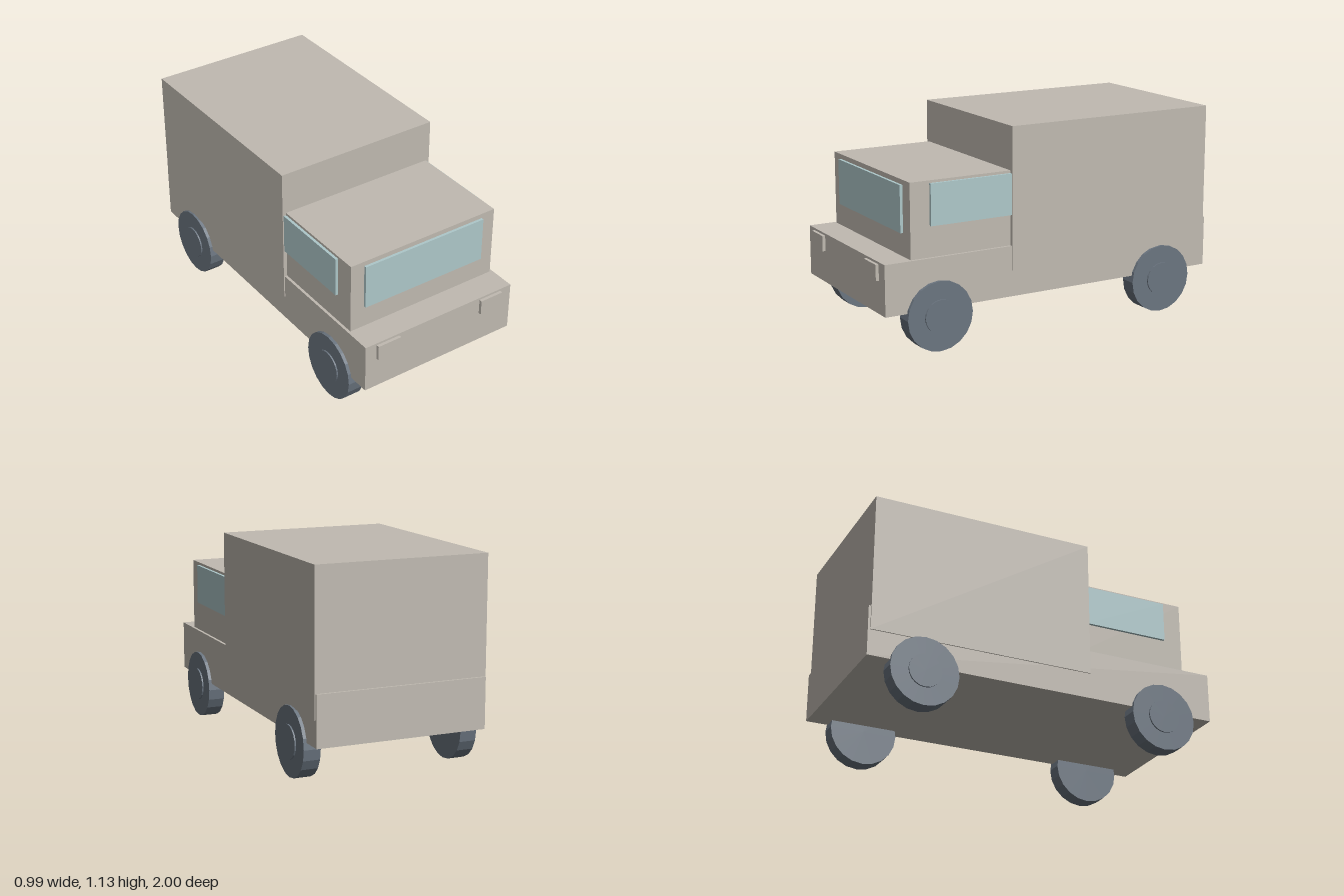
import * as THREE from 'three';

export function createModel() {
  const model = new THREE.Group();
  model.name = 'boxTruck';

  const material = (name, color) => {
    const m = new THREE.MeshStandardMaterial({ color, flatShading: true });
    m.name = name;
    return m;
  };
  const paint = material('warmGreyPaint', 0xc0bab1);
  const glass = material('paleBlueGlass', 0xaec8ca);
  const rubber = material('slateRubber', 0x6b7580);

  // Box given by its lower and upper limits on each axis
  const addBox = (name, mat, [x0, x1], [y0, y1], [z0, z1]) => {
    const mesh = new THREE.Mesh(new THREE.BoxGeometry(x1 - x0, y1 - y0, z1 - z0), mat);
    mesh.position.set((x0 + x1) / 2, (y0 + y1) / 2, (z0 + z1) / 2);
    mesh.name = name;
    model.add(mesh);
  };

  // Body
  addBox('chassis', paint, [-0.468, 0.468], [0.224, 0.497], [-1, 0.983]);
  addBox('cab', paint, [-0.453, 0.453], [0.49, 0.896], [0.2, 0.83]);
  addBox('cargoBox', paint, [-0.474, 0.474], [0.365, 1.13], [-0.987, 0.25]);
  addBox('windshield', glass, [-0.372, 0.372], [0.621, 0.87], [0.825, 0.845]);

  // Wheel disc with its axis along x
  const addDisc = (group, name, radius, x0, x1) => {
    const geometry = new THREE.CylinderGeometry(radius, radius, x1 - x0, 20);
    geometry.rotateZ(Math.PI / 2);
    const mesh = new THREE.Mesh(geometry, rubber);
    mesh.position.x = (x0 + x1) / 2;
    mesh.name = name;
    group.add(mesh);
  };

  // Parts mirrored on the left (+x) and right (-x)
  for (const [side, s] of [['left', 1], ['right', -1]]) {
    const span = (a, b) => (s > 0 ? [a, b] : [-b, -a]);
    addBox(side + 'SideWindow', glass, span(0.447, 0.468), [0.662, 0.882], [0.24, 0.72]);
    addBox(side + 'Headlight', paint, span(0.26, 0.4), [0.4, 0.485], [0.975, 1]);

    for (const [end, z] of [['Front', 0.68], ['Rear', -0.695]]) {
      const wheel = new THREE.Group();
      wheel.name = side + end + 'Wheel';
      addDisc(wheel, 'tire', 0.187, ...span(0.394, 0.486));
      addDisc(wheel, 'hub', 0.09, ...span(0.48, 0.494));
      wheel.position.set(0, 0.188, z);
      model.add(wheel);
    }
  }
  return model;
}
